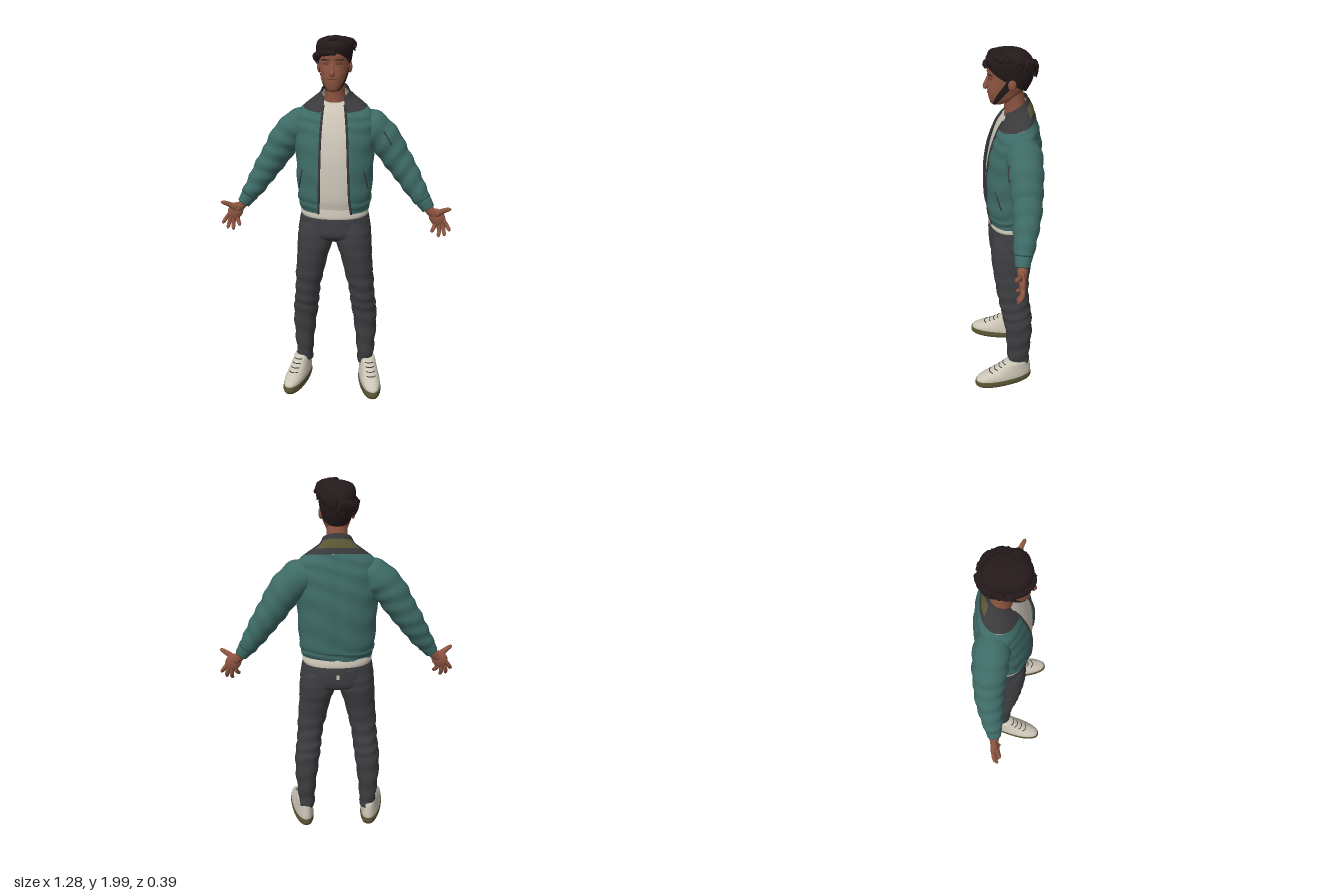
import * as THREE from 'three';

const mat = (name, color, side = THREE.DoubleSide) => {
  const m = new THREE.MeshStandardMaterial({ color, side });
  m.name = name;
  return m;
};
const V = (x, y, z) => new THREE.Vector3(x, y, z);
const TAU = Math.PI * 2;
const POW = 0.9; // squareness of the horizontal cross-sections
const pw = q => Math.sign(q) * Math.abs(q) ** POW;

// Skin a list of rings; closed rings share their seam, caps close the ends
function loft(rings, closed, capStart, capEnd) {
  const mid = r => r.reduce((a, p) => a.add(p), V(0, 0, 0)).divideScalar(r.length);
  const all = [...rings];
  if (capStart) all.unshift(rings[0].map(() => mid(rings[0])));
  if (capEnd) all.push(rings.at(-1).map(() => mid(rings.at(-1))));
  const n = rings[0].length, idx = [];
  for (let i = 0; i < all.length - 1; i++)
    for (let j = 0; j < (closed ? n : n - 1); j++) {
      const k = (j + 1) % n, a = i * n + j, b = i * n + k, c = a + n, d = b + n;
      idx.push(a, b, d, a, d, c);
    }
  const g = new THREE.BufferGeometry().setFromPoints(all.flat());
  g.setIndex(idx);
  g.computeVertexNormals();
  return g;
}

// Smooth interpolation between profile rows [cx, halfWidth, yFront, zFront, yBack, zBack]
function rowAt(rows, v) {
  const n = rows.length - 1, i = Math.min(Math.floor(v), n - 1), t = v - i;
  const R = k => rows[Math.max(0, Math.min(n, k))];
  return rows[i].map((b, k) => {
    const a = R(i - 1)[k], c = R(i + 1)[k], d = R(i + 2)[k];
    return b + 0.5 * t * (c - a + t * (2 * a - 5 * b + 4 * c - d + t * (3 * (b - c) + d - a)));
  });
}
// Point on a body surface; angle 0 is the front and grows towards +x
function surf(rows, v, th, off = 0) {
  const [cx, w, yF, zF, yB, zB] = rowAt(rows, v), c = Math.cos(th);
  return V(cx + (w + off) * pw(Math.sin(th)), (yF + yB) / 2 + (yF - yB) / 2 * c,
    (zF + zB) / 2 + ((zF - zB) / 2 + off) * pw(c));
}
function patch(rows, v0, v1, { from, to, off = 0, nv = 24, nu = 40, capStart, capEnd } = {}) {
  const closed = !from, rings = [];
  for (let i = 0; i <= nv; i++) {
    const v = v0 + (v1 - v0) * i / nv, a = closed ? 0 : from(v), b = closed ? TAU : to(v), ring = [];
    for (let j = 0; j < (closed ? nu : nu + 1); j++) {
      const th = a + (b - a) * j / nu;
      ring.push(surf(rows, v, th, typeof off === 'function' ? off(v, th) : off));
    }
    rings.push(ring);
  }
  return loft(rings, closed, capStart, capEnd);
}
// Tapered tube through points [x, y, z, radius]
function limb(pts, { seg = 14, sides = 10, round = 0, fold = 0 } = {}) {
  const curve = new THREE.CatmullRomCurve3(pts.map(p => V(p[0], p[1], p[2])));
  const f = curve.computeFrenetFrames(seg), rings = [];
  for (let i = 0; i <= seg; i++) {
    const u = i / seg, t = curve.getUtoTmapping(u), s = t * (pts.length - 1);
    const k = Math.min(Math.floor(s), pts.length - 2), c = curve.getPoint(t);
    let r = THREE.MathUtils.lerp(pts[k][3], pts[k + 1][3], s - k);
    if (round) r *= Math.min(1, Math.sqrt((1 - u) * round));
    rings.push(Array.from({ length: sides }, (_, j) => {
      const a = j / sides * TAU, q = r + fold * Math.sin(u * 42 + 2 * Math.sin(a));
      return c.clone().addScaledVector(f.normals[i], q * Math.cos(a)).addScaledVector(f.binormals[i], q * Math.sin(a));
    }));
  }
  return loft(rings, true, true, true);
}

const TORSO = [
  [0, .186, 1.06, .092, 1.075, -.168], [0, .196, 1.10, .10, 1.11, -.177], [0, .201, 1.14, .107, 1.14, -.183],
  [0, .206, 1.24, .11, 1.24, -.191], [0, .211, 1.36, .105, 1.36, -.195], [0, .217, 1.46, .088, 1.46, -.19],
  [0, .219, 1.52, .07, 1.54, -.181], [0, .207, 1.56, .055, 1.60, -.168], [0, .168, 1.595, .04, 1.65, -.152],
  [0, .122, 1.62, .026, 1.69, -.136], [0, .09, 1.64, .015, 1.715, -.124], [0, .074, 1.665, .006, 1.745, -.112]];
const SHIRT_HEM = [[0, .183, 1.03, .088, 1.04, -.172], [0, .188, 1.045, .09, 1.06, -.172], [0, .18, 1.09, .085, 1.10, -.165]];
const HIPS = [[0, .10, .885, .03, .885, -.09], [0, .195, .925, .083, .91, -.155],
  [0, .194, 1.0, .085, 1.0, -.168], [0, .18, 1.06, .08, 1.06, -.16]];
const LEG = [[.18, .045, .11, -.01, .11, -.128], [.18, .05, .2, 0, .2, -.13], [.178, .062, .33, .006, .33, -.14],
  [.17, .07, .45, .02, .45, -.14], [.161, .07, .52, .036, .52, -.132], [.153, .071, .6, .05, .6, -.122],
  [.138, .08, .7, .065, .7, -.122], [.122, .088, .8, .078, .8, -.135], [.107, .1, .88, .083, .88, -.152],
  [.1, .098, .95, .08, .95, -.155], [.09, .09, 1.0, .07, 1.0, -.15]];
const HEAD = [[0, .022, 1.706, .056, 1.712, .0], [0, .038, 1.716, .07, 1.725, -.03], [0, .053, 1.742, .078, 1.742, -.065],
  [0, .065, 1.775, .083, 1.775, -.09], [0, .073, 1.81, .083, 1.81, -.11], [0, .078, 1.85, .08, 1.85, -.125],
  [0, .08, 1.89, .085, 1.89, -.13], [0, .077, 1.93, .075, 1.93, -.125], [0, .05, 1.965, .035, 1.965, -.09]];
const HAIR = [[0, .08, 1.9, .083, 1.775, -.108], [0, .09, 1.922, .09, 1.835, -.138], [0, .094, 1.945, .087, 1.91, -.143],
  [0, .08, 1.968, .062, 1.958, -.112], [0, .035, 1.982, .015, 1.98, -.062]];
const SOLE = [[0, .054, 0, .25, 0, -.076], [0, .06, .018, .262, .018, -.084], [0, .058, .045, .258, .045, -.082]];
const SHOE = [[0, .057, .04, .256, .04, -.081], [0, .056, .062, .245, .065, -.081], [0, .051, .088, .19, .09, -.078],
  [0, .046, .115, .13, .115, -.075], [0, .042, .145, .08, .135, -.07], [0, .038, .153, .06, .14, -.066]];

export function createModel() {
  const root = new THREE.Group();
  const skin = mat('skin', 0x8f5642), lid = mat('skin shadow', 0x74412f), hair = mat('hair', 0x251a1b);
  const teal = mat('jacket teal', 0x3e6b66), trim = mat('dark trim', 0x3a3a3c), olive = mat('olive', 0x5a5634);
  const cream = mat('shirt cream', 0xcfc8ba), denim = mat('trouser charcoal', 0x3d3e41), white = mat('shoe white', 0xcbc5b6);
  const add = (name, g, m, parent = root) => {
    const mesh = new THREE.Mesh(g, m);
    mesh.name = name;
    parent.add(mesh);
    return mesh;
  };
  const ball = (name, m, p, scale, rotZ = 0) => {
    const b = add(name, new THREE.SphereGeometry(1, 18, 12), m);
    b.position.set(...p); b.scale.set(...scale); b.rotation.z = rotZ;
  };

  // Jacket, open at the front
  const edge = (v, low, high) => {
    const w = rowAt(TORSO, v)[1], x = Math.min(THREE.MathUtils.lerp(low, high, v / 11), .78 * w);
    return Math.asin((x / w) ** (1 / POW));
  };
  const eL = v => edge(v, .1, .05), eR = v => TAU - edge(v, .075, .05);
  const creases = (v, th) => .0025 * Math.sin(v * 5 + 3 * Math.sin(th * 2)) - .005 * Math.exp(-(((th - Math.PI) / .07) ** 2));
  add('jacketBody', patch(TORSO, 0, 8, { from: eL, to: eR, off: creases, nv: 48, nu: 72 }), teal);
  add('jacketYoke', patch(TORSO, 8, 11, { from: eL, to: eR, nu: 56 }), trim);
  add('collarPatch', patch(TORSO, 8.7, 10.2, { from: () => Math.PI - .85, to: () => Math.PI + .85, off: .004 }), olive);
  for (const [name, e] of [['leftZip', eL], ['rightZip', eR]])
    add(name, limb(Array.from({ length: 20 }, (_, i) => [...surf(TORSO, i * .5, e(i * .5), .001), .006]), { seg: 50, sides: 6 }), trim);
  for (const s of [1, -1])
    add('pocketWelt', limb([0, 1, 2, 3].map(i => [...surf(TORSO, 2.6 + i * .3, s * (1.12 - i * .09), .001), .004]), { sides: 6 }), trim);

  // Shirt under the jacket
  add('shirt', patch(TORSO, 0, 10.2, { off: -.011, nv: 40 }), cream);
  add('shirtHem', patch(SHIRT_HEM, 0, 2, { nv: 8, nu: 56 }), cream);

  // Head and face
  add('neck', limb([[0, 1.62, -.062, .062], [0, 1.69, -.052, .053], [0, 1.79, -.035, .052]], { sides: 20 }), skin);
  add('head', patch(HEAD, 0, 8, { nv: 32, capStart: true, capEnd: true }), skin);
  add('nose', limb([[0, 1.86, .073, .008], [0, 1.825, .086, .010], [0, 1.798, .092, .015], [0, 1.788, .082, .01]], { round: 8 }), skin);
  add('mouth', patch(HEAD, 2.85, 3.05, { from: () => -.36, to: () => .36, off: .003, nv: 3, nu: 12 }), lid);
  for (const s of [1, -1]) {
    const span = (a, b) => s > 0 ? { from: () => a, to: () => b } : { from: () => -b, to: () => -a };
    add('eye', patch(HEAD, 4.85, 5.15, { ...span(.2, .62), off: .002, nv: 3, nu: 10 }), lid);
    add('eyebrow', patch(HEAD, 5.4, 5.55, { ...span(.16, .7), off: .003, nv: 3, nu: 10 }), hair);
    ball('ear', skin, [s * .08, 1.828, -.03], [.012, .031, .02]);
    const c = v => .75 + v * .18;
    add('beard', patch(HEAD, .6, 5.4, {
      from: v => s > 0 ? c(v) - .2 : -c(v) - .2, to: v => s > 0 ? c(v) + .2 : -c(v) + .2, off: .003, nu: 8 }), hair);
  }

  // Hair cap covered in curling locks
  let seed = 7;
  const rnd = () => (seed = (seed * 16807) % 2147483647) / 2147483647;
  add('hairCap', patch(HAIR, 0, 4, { nv: 16, capEnd: true }), hair);
  const locks = new THREE.Group();
  locks.name = 'hairLocks';
  root.add(locks);
  for (let i = 0; i < 84; i++) {
    const th = i * 2.4, v = .5 + 3.4 * ((i * .618) % 1), turn = (rnd() - .35) * .8, lift = .004 + rnd() * .008;
    const at = (dv, k, off, r) => [...surf(HAIR, Math.max(0, v - dv), th + turn * k, off), r];
    add('lock', limb([at(0, 0, -.004, .006), at(.3, .4, lift, .012), at(.7, .8, lift, .011), at(1, 1.3, lift + .003, .002)],
      { seg: 8, sides: 6 }), hair, locks);
  }

  // Trousers
  add('hips', patch(HIPS, 0, 3, { nu: 48, capStart: true }), denim);
  for (const s of [1, -1]) {
    const rows = LEG.map(([cx, ...r]) => [cx * s, ...r]);
    const folds = (v, th) => (v < 6 ? .003 : .001) * Math.sin(v * 7 + 2 * Math.sin(th + s));
    add('trouserLeg', patch(rows, 0, 10, { off: folds, nv: 60, nu: 32, capStart: true }), denim);
  }
  const tag = add('backTag', new THREE.BoxGeometry(.014, .025, .006), cream);
  tag.position.set(0, .985, -.167);

  for (const s of [1, -1]) {
    const M = pts => pts.map(([x, ...r]) => [x * s, ...r]);

    // Sleeve and cuff
    add('sleeve', limb(M([[.12, 1.54, -.075, .068], [.19, 1.515, -.078, .091], [.27, 1.44, -.08, .088], [.325, 1.355, -.08, .079],
      [.38, 1.275, -.075, .071], [.44, 1.18, -.06, .058], [.482, 1.118, -.048, .047]]), { seg: 56, sides: 24, fold: .003 }), teal);
    add('cuff', limb(M([[.468, 1.14, -.052, .046], [.49, 1.107, -.046, .043], [.513, 1.073, -.041, .036]]), { sides: 20 }), teal);

    // Hand with the palm to the front and the thumb outwards
    add('wrist', limb(M([[.495, 1.10, -.045, .027], [.525, 1.06, -.04, .026], [.55, 1.03, -.037, .02]])), skin);
    ball('palm', skin, [s * .562, 1.025, -.036], [.042, .054, .019], s * .55);
    const fingers = [[.592, 1.015, .618, .98, .634, .955], [.584, 1.0, .599, .96, .606, .925],
      [.572, .99, .576, .95, .572, .918], [.553, .99, .547, .968, .532, .946]];
    for (const [a, b, c, d, e, f] of fingers)
      add('finger', limb(M([[a, b, -.036, .0125], [c, d, -.03, .0115], [e, f, -.008, .009]]), { round: 6 }), skin);
    add('thumb', limb(M([[.558, 1.045, -.03, .019], [.595, 1.07, -.015, .014], [.635, 1.088, .004, .01]]), { round: 6 }), skin);

    // Shoe, toes turned out
    const shoe = new THREE.Group();
    shoe.name = s > 0 ? 'leftShoe' : 'rightShoe';
    shoe.position.set(s * .193, 0, -.06);
    shoe.rotation.y = s * .2;
    root.add(shoe);
    add('sole', patch(SOLE, 0, 2, { nv: 8, capStart: true, capEnd: true }), olive, shoe);
    add('upper', patch(SHOE, 0, 5, { capEnd: true }), white, shoe);
    for (let i = 0; i < 4; i++) {
      const v = 2.3 + i * .5;
      add('lace', limb([-.5, -.2, .2, .5].map(th => [...surf(SHOE, v, th, .001), .0028]), { seg: 8, sides: 5 }), trim, shoe);
    }
  }

  // Small pocket on the left sleeve
  add('sleevePocketZip', limb([[.262, 1.50, .0, .004], [.285, 1.465, .005, .004], [.305, 1.43, .003, .004]], { sides: 6 }), trim);
  return root;
}
